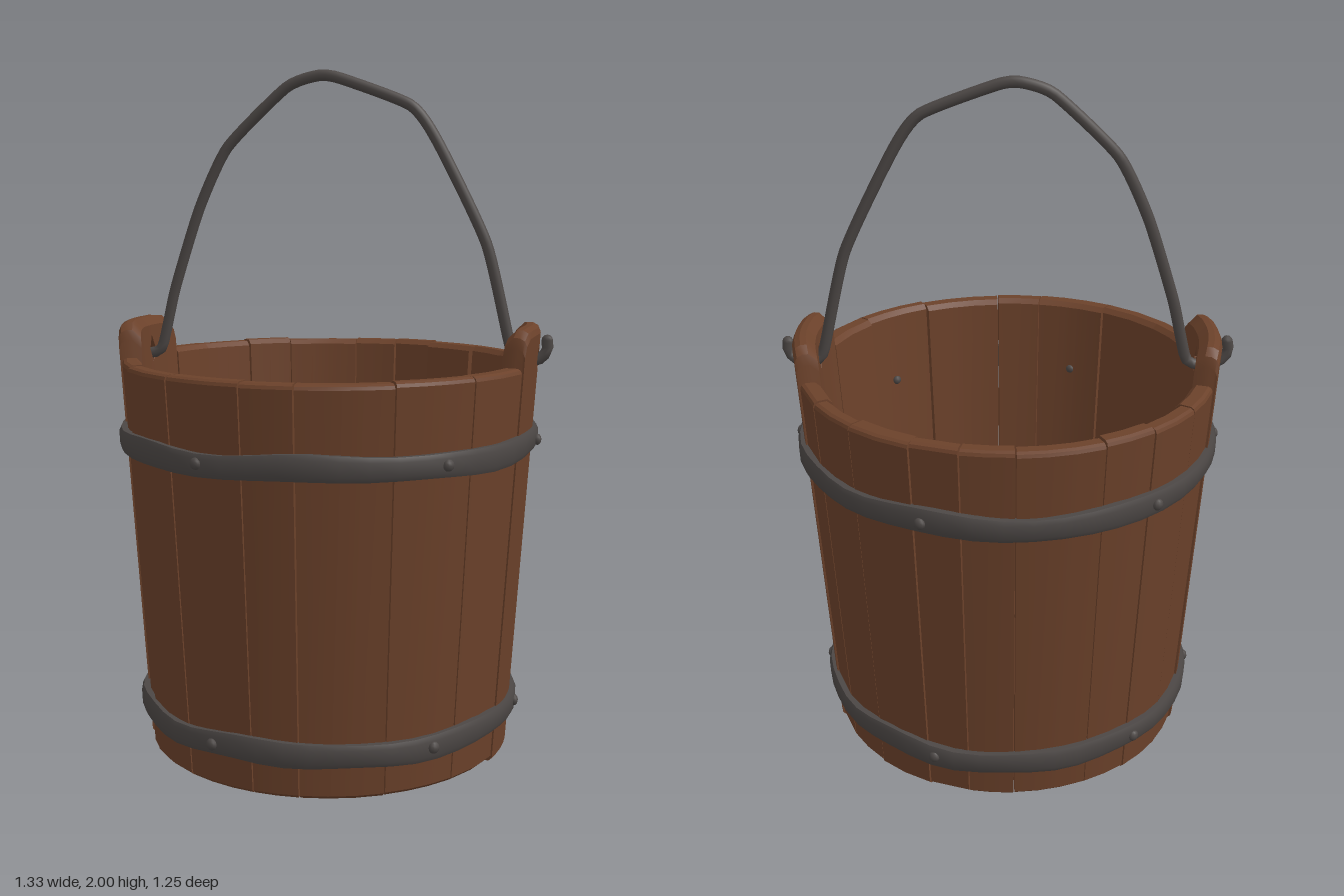
import * as THREE from 'three';
import { toCreasedNormals } from 'three/addons/utils/BufferGeometryUtils.js';

const wood = new THREE.MeshStandardMaterial({ color: 0x6b412a });
wood.name = 'brown wood';
const iron = new THREE.MeshStandardMaterial({ color: 0x4c4745 });
iron.name = 'dark iron';

const rad = THREE.MathUtils.degToRad;
const outerR = (y) => 0.54 + 0.065 * y; // the wall widens upward

// Small seeded generator for hand-made irregularity
let seed = 7;
const rand = () => {
  seed = (seed * 16807) % 2147483647;
  return seed / 2147483647;
};
const jitter = (s) => (rand() * 2 - 1) * s;

function addMesh(parent, name, geometry, material) {
  const mesh = new THREE.Mesh(geometry, material);
  mesh.name = name;
  parent.add(mesh);
  return mesh;
}

// Sweeps a bevelled wall section around y; angles in degrees from +z toward +x
function staveGeometry(angles, bottom, top, o = {}) {
  const { thick = 0.06, shift = 0, bevelLow = 0.01, bevelTop = 0.014 } = o;
  const sections = angles.map((a) => {
    const y0 = bottom(a), y1 = top(a), c = bevelLow, b = bevelTop;
    const ro = (y) => outerR(y) + shift;
    const ri = (y) => ro(y) - thick;
    return [
      [ro(y0) - c, y0], [ro(y0 + c), y0 + c],
      [ro(y1 - b), y1 - b], [ro(y1) - b * 0.35, y1 - b * 0.35], [ro(y1) - b, y1],
      [ri(y1) + b, y1], [ri(y1 - b), y1 - b],
      [ri(y0 + c), y0 + c], [ri(y0) + c, y0],
    ].map(([r, y]) => [r * Math.sin(rad(a)), y, r * Math.cos(rad(a))]);
  });
  const n = sections[0].length, last = sections.length - 1;
  const index = [];
  for (let i = 0; i < last; i++) {
    for (let j = 0; j < n; j++) {
      const k = (j + 1) % n;
      const a = i * n + j, b = a + n, c = (i + 1) * n + k, d = i * n + k;
      index.push(a, b, c, a, c, d);
    }
  }
  for (let j = 1; j < n - 1; j++) {
    index.push(0, j, j + 1, last * n, last * n + j + 1, last * n + j);
  }
  const g = new THREE.BufferGeometry();
  g.setAttribute('position', new THREE.Float32BufferAttribute(sections.flat(2), 3));
  g.setIndex(index);
  return toCreasedNormals(g, rad(25));
}

// Plain staves between the two ears, uneven widths
function addStaves(group) {
  const front = [-73.5, -55, -33, -10, 4, 29, 52, 73.5];
  const back = [106.5, 120, 137, 156, 169, 183, 206, 221, 238, 253.5];
  for (const seams of [front, back]) {
    for (let i = 0; i < seams.length - 1; i++) {
      const from = seams[i] + 0.2, to = seams[i + 1] - 0.2;
      const steps = Math.max(1, Math.round((to - from) / 9));
      const angles = Array.from({ length: steps + 1 }, (_, k) => from + ((to - from) * k) / steps);
      const low = rand() * 0.008, high = 1.16 + jitter(0.003);
      addMesh(group, 'stave', staveGeometry(angles, () => low, () => high,
        { thick: 0.06 + jitter(0.009), shift: jitter(0.004) }), wood);
    }
  }
}

// Tall stave with rounded ear and a diamond hole for the handle
function addEar(group, facing) {
  const ear = new THREE.Group();
  ear.name = 'earStave';
  const earTop = (a) => {
    const d = Math.abs(a - facing);
    return d > 16 ? 1.215 : d > 15 ? 1.245 : d > 12 ? 1.265 : 1.27;
  };
  const at = (list) => list.map((a) => a + facing);
  const floor = () => 0;
  const opts = { thick: 0.066, shift: 0.004, bevelTop: 0.024 };
  const mid = (a) => Math.abs(a - facing) < 1;
  addMesh(ear, 'earSide', staveGeometry(at([-16.3, -15.4, -13, -8, -2.4]), floor, earTop, opts), wood);
  addMesh(ear, 'earSide', staveGeometry(at([2.4, 8, 13, 15.4, 16.3]), floor, earTop, opts), wood);
  addMesh(ear, 'earBelowHole', staveGeometry(at([-2.4, 0, 2.4]), floor,
    (a) => (mid(a) ? 1.135 : 1.175), { ...opts, bevelTop: 0.001 }), wood);
  addMesh(ear, 'earAboveHole', staveGeometry(at([-2.4, 0, 2.4]),
    (a) => (mid(a) ? 1.215 : 1.175), earTop, { ...opts, bevelLow: 0.001 }), wood);
  group.add(ear);
}

// Floor boards: slices of a disc running front to back
function addFloor(group) {
  const R = 0.492;
  const edges = [-0.488, -0.31, -0.1, 0.105, 0.26, 0.41, 0.488];
  for (let i = 0; i < edges.length - 1; i++) {
    const x0 = edges[i] + 0.0015, x1 = edges[i + 1] - 0.0015;
    const pts = [];
    for (let k = 0; k <= 8; k++) {
      const x = x0 + ((x1 - x0) * k) / 8;
      pts.push(new THREE.Vector2(x, Math.sqrt(R * R - x * x)));
    }
    const outline = [...pts, ...pts.map((p) => new THREE.Vector2(p.x, -p.y)).reverse()];
    const g = new THREE.ExtrudeGeometry(new THREE.Shape(outline), { depth: 0.04, bevelEnabled: false });
    g.rotateX(-Math.PI / 2);
    g.translate(0, 0.03 + jitter(0.002), 0);
    addMesh(group, 'floorBoard', g, wood);
  }
}

// Hammered hoop with rivets showing outside and inside
function addHoop(group, y, phase) {
  const h = 0.034, r = outerR(y);
  const profile = [
    [r - 0.006, -h], [r + 0.014, -h], [r + 0.021, -h * 0.6], [r + 0.023, h * 0.6],
    [r + 0.017, h], [r - 0.002, h], [r - 0.006, -h],
  ].map(([a, b]) => new THREE.Vector2(a, b));
  const g = new THREE.LatheGeometry(profile, 48);
  const p = g.attributes.position;
  for (let i = 0; i < p.count; i++) {
    const a = Math.atan2(p.getX(i), p.getZ(i));
    const wave = 0.004 * Math.sin(5 * a + phase) + 0.003 * Math.sin(9 * a + 2 * phase);
    const pinch = 1 + 0.07 * Math.sin(7 * a + phase);
    const swell = 1 + 0.004 * Math.sin(11 * a + phase);
    p.setXYZ(i, p.getX(i) * swell, y + p.getY(i) * pinch + wave, p.getZ(i) * swell);
  }
  addMesh(group, 'hoop', toCreasedNormals(g, rad(35)), iron);

  for (const a of [-138, -90, -22, 43, 90, 159]) {
    for (const [dist, size] of [[r + 0.022, 0.017], [r - 0.061, 0.014]]) {
      const rivet = addMesh(group, 'rivet', new THREE.SphereGeometry(size, 10, 6), iron);
      rivet.position.set(dist * Math.sin(rad(a)), y, dist * Math.cos(rad(a)));
      rivet.rotation.y = rad(a);
      rivet.scale.z = 0.75;
    }
  }
}

// Bent iron handle hooked through both ears
function addHandle(group) {
  const path = [
    [-0.643, 1.235], [-0.648, 1.2], [-0.62, 1.168], [-0.57, 1.16], [-0.525, 1.18],
    [-0.48, 1.36], [-0.4, 1.6], [-0.31, 1.78], [-0.13, 1.95], [-0.035, 1.983],
    [0.03, 1.975], [0.24, 1.895], [0.32, 1.79], [0.465, 1.5], [0.54, 1.2],
    [0.57, 1.165], [0.615, 1.165], [0.645, 1.192], [0.645, 1.225],
  ].map(([x, y]) => new THREE.Vector3(x, y, -0.006));
  const curve = new THREE.CatmullRomCurve3(path, false, 'catmullrom', 0.3);
  addMesh(group, 'handle', new THREE.TubeGeometry(curve, 110, 0.0165, 8), iron);
  for (const end of [path[0], path[path.length - 1]]) {
    addMesh(group, 'handleTip', new THREE.SphereGeometry(0.0165, 8, 6), iron).position.copy(end);
  }
}

export function createModel() {
  const bucket = new THREE.Group();
  bucket.name = 'bucket';
  addStaves(bucket);
  addEar(bucket, 90);
  addEar(bucket, -90);
  addFloor(bucket);
  addHoop(bucket, 0.935, 0.6);
  addHoop(bucket, 0.137, 2.1);
  addHandle(bucket);
  return bucket;
}
